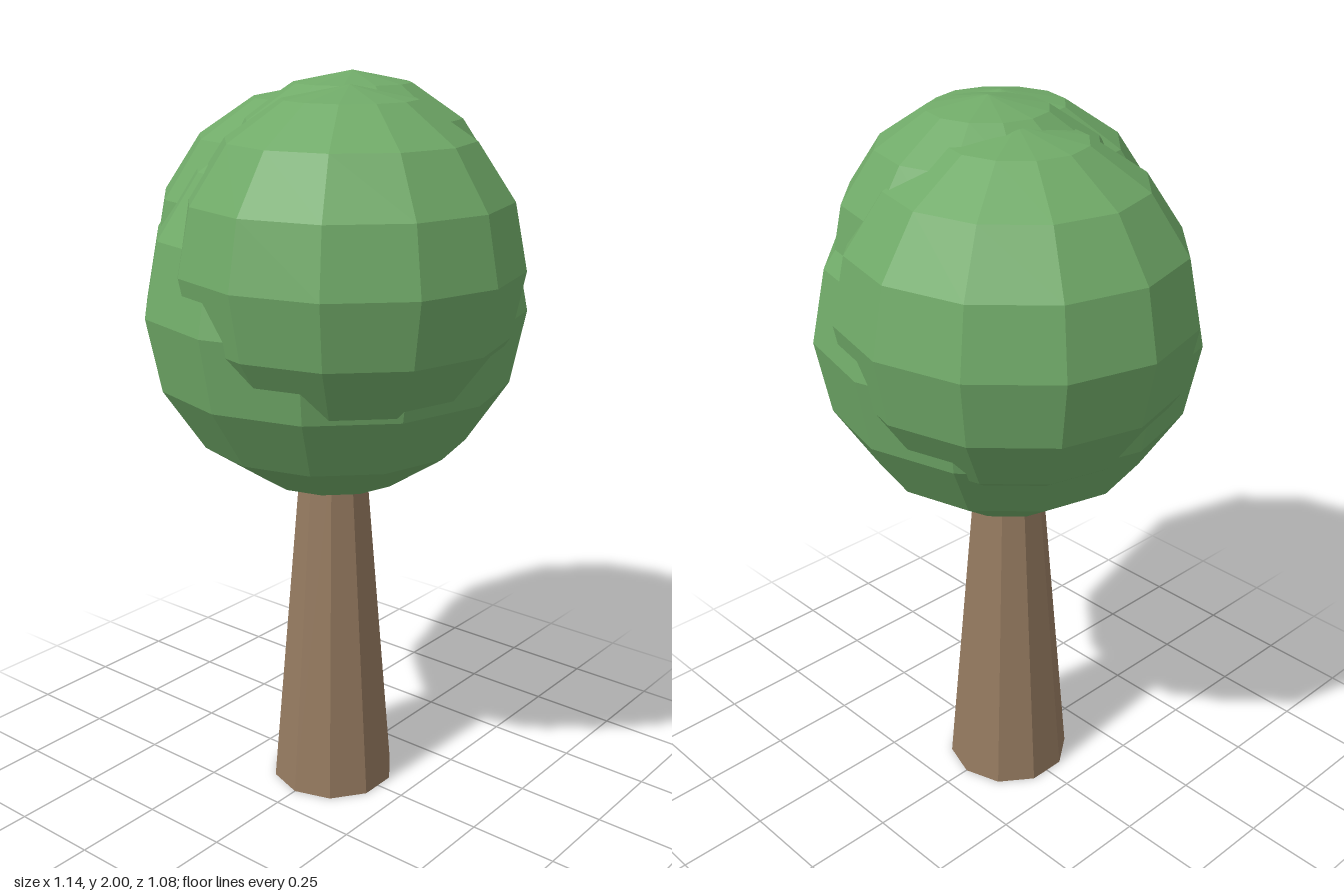
import * as THREE from 'three';

export function createModel() {
  const tree = new THREE.Group();
  tree.name = 'tree';
  const bark = new THREE.MeshStandardMaterial({ color: 0x957a60, flatShading: true });
  const leaves = new THREE.MeshStandardMaterial({ color: 0x70aa68, flatShading: true });

  // Tapered ten-sided trunk, its top hidden inside the crown
  const trunkHeight = 1.0;
  const trunk = new THREE.Mesh(new THREE.CylinderGeometry(0.09, 0.175, trunkHeight, 10), bark);
  trunk.name = 'trunk';
  trunk.position.y = trunkHeight / 2;
  tree.add(trunk);

  // Crown of overlapping faceted spheres: name, radius, centre
  const crown = new THREE.Group();
  crown.name = 'crown';
  const clumps = [
    ['mainFoliage', 0.51, [0, 1.4, 0]],
    ['frontLeftFoliage', 0.445, [0.125, 1.53, 0.09]],
    ['backRightFoliage', 0.46, [-0.113, 1.5, -0.08]],
    ['topFoliage', 0.4, [0.03, 1.6, -0.04]],
  ];
  for (const [name, radius, centre] of clumps) {
    const clump = new THREE.Mesh(new THREE.SphereGeometry(radius, 12, 8), leaves);
    clump.name = name;
    clump.position.set(...centre);
    crown.add(clump);
  }
  tree.add(crown);
  return tree;
}
